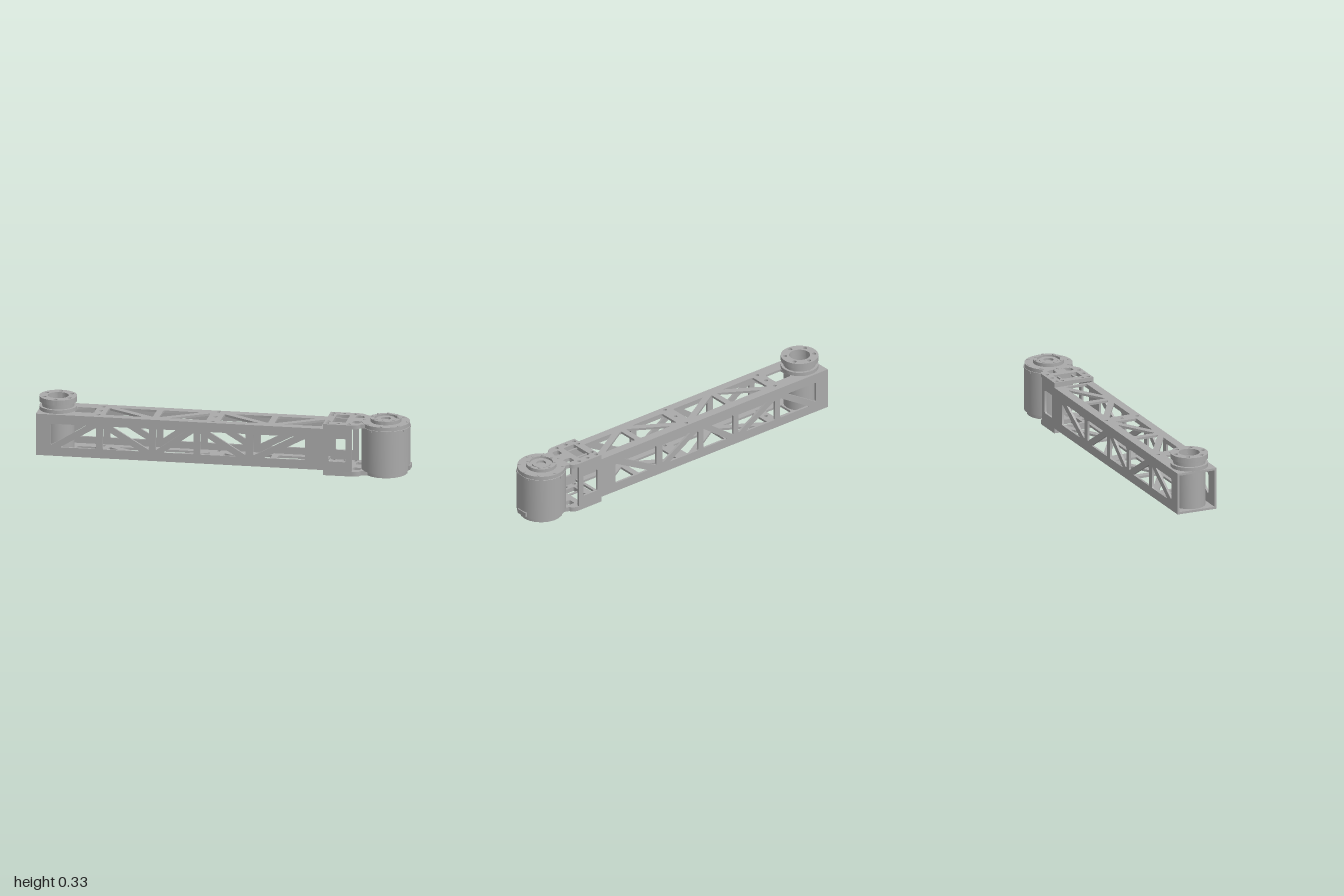
import * as THREE from 'three';
import { toCreasedNormals } from 'three/addons/utils/BufferGeometryUtils.js';

const HALF = 0.114, WALL = 0.012, TUBE_Y0 = 0.028, TUBE_Y1 = 0.256;
const RING_X = -0.9, MOTOR_X = 0.865;

export function createModel() {
  const model = new THREE.Group();
  model.name = 'robotArmLink';
  const metal = new THREE.MeshStandardMaterial({ color: 0xaaaaaa });
  metal.name = 'grey metal';

  function add(name, geometry, x = 0, y = 0, z = 0, parent = model) {
    const mesh = new THREE.Mesh(toCreasedNormals(geometry, 0.6), metal);
    mesh.name = name;
    mesh.position.set(x, y, z);
    parent.add(mesh);
    return mesh;
  }

  // Closed polygon with rounded corners
  function rounded(points, r) {
    const path = new THREE.Path();
    const v = points.map(p => new THREE.Vector2(...p));
    v.forEach((p, i) => {
      const before = v[(i + v.length - 1) % v.length], after = v[(i + 1) % v.length];
      const a = before.clone().sub(p).setLength(r).add(p);
      const b = after.clone().sub(p).setLength(r).add(p);
      if (i === 0) path.moveTo(a.x, a.y); else path.lineTo(a.x, a.y);
      path.quadraticCurveTo(p.x, p.y, b.x, b.y);
    });
    path.closePath();
    return path;
  }
  const rect = (x0, x1, y0, y1, r = 0.008) => rounded([[x0, y0], [x1, y0], [x1, y1], [x0, y1]], r);
  function circle(x, y, r) {
    const path = new THREE.Path();
    path.absarc(x, y, r, 0, Math.PI * 2, false);
    return path;
  }
  function boltCircle(x, r, hole, n, start = 0) {
    return Array.from({ length: n }, (_, i) => {
      const a = start + i * Math.PI * 2 / n;
      return circle(x + r * Math.cos(a), r * Math.sin(a), hole);
    });
  }
  // Two triangular windows either side of a diagonal brace
  function trussCell(x0, x1, y0, y1, rising) {
    const gap = 0.2 * (x1 - x0), dy = 0.01;
    return rising
      ? [rounded([[x0, y0 + dy], [x1 - gap, y1], [x0, y1]], 0.009),
         rounded([[x0 + gap, y0], [x1, y0], [x1, y1 - dy]], 0.009)]
      : [rounded([[x0, y0], [x1 - gap, y0], [x0, y1 - dy]], 0.009),
         rounded([[x0 + gap, y1], [x1, y0 + dy], [x1, y1]], 0.009)];
  }
  function plate(outline, holes, depth, flat = true) {
    const shape = new THREE.Shape(outline.getPoints(8));
    shape.holes = holes;
    const g = new THREE.ExtrudeGeometry(shape, { depth, bevelEnabled: false, curveSegments: 12 });
    return flat ? g.rotateX(-Math.PI / 2) : g;
  }
  const lathe = (points, n = 64) =>
    new THREE.LatheGeometry(points.map(p => new THREE.Vector2(...p)), n);
  const polygon = points => new THREE.Shape(points.map(p => new THREE.Vector2(...p)));

  // Side walls: truss windows, deeper bracket end and a square window
  const sideOutline = polygon([[-1, TUBE_Y0], [0.547, TUBE_Y0], [0.547, 0], [0.7, 0],
    [0.7, 0.283], [0.547, 0.283], [0.547, TUBE_Y1], [-1, TUBE_Y1]]);
  const sideCells = [[-0.92, -0.675], [-0.64, -0.39], [-0.355, -0.15], [-0.115, 0.13], [0.17, 0.45]];
  const sideHoles = sideCells.flatMap(([a, b], i) => trussCell(a, b, 0.077, 0.205, i % 2 === 0));
  sideHoles.push(rect(0.575, 0.668, 0.077, 0.205));
  for (const [name, z] of [['frontWall', HALF - WALL], ['backWall', -HALF]])
    add(name, plate(sideOutline, sideHoles, WALL, false), 0, 0, z);

  // Top and bottom walls
  const cells = [[-0.635, -0.38], [-0.345, -0.09], [-0.015, 0.24], [0.275, 0.53]];
  const inner = HALF - WALL;
  const floorOutline = polygon([[-1, -inner], [0.547, -inner], [0.547, inner], [-1, inner]]);
  const floorHoles = [
    ...cells.flatMap(([a, b], i) => trussCell(a, b, -0.068, 0.065, i % 2 === 1)),
    circle(RING_X, 0, 0.056), rect(-0.805, -0.7, -0.045, 0.045, 0.012),
    ...boltCircle(RING_X, 0.078, 0.009, 6, Math.PI / 6),
    ...[-0.67, -0.053].flatMap(x => [-0.09, 0, 0.09].map(z => circle(x, z * (x < -0.5 ? 0.82 : 1), 0.01))),
  ];
  for (const [name, y] of [['topWall', TUBE_Y1 - WALL], ['bottomWall', TUBE_Y0]])
    add(name, plate(floorOutline, floorHoles, WALL), 0, y);

  // Bracket plates that clamp the motor, ending in a round
  function bracketOutline(r) {
    const s = new THREE.Shape();
    s.moveTo(0.547, -HALF);
    s.lineTo(0.695, -HALF);
    s.quadraticCurveTo(0.735, -HALF, 0.745, -0.088);
    s.lineTo(MOTOR_X - r * 0.75, -r * 0.66);
    s.absarc(MOTOR_X, 0, r, -2.42, 2.42, false);
    s.lineTo(0.745, 0.088);
    s.quadraticCurveTo(0.735, HALF, 0.695, HALF);
    s.lineTo(0.547, HALF);
    s.closePath();
    return s;
  }
  const bracketHoles = [
    rect(0.588, 0.66, -0.068, 0.068),
    rounded([[0.695, 0.03], [0.745, 0.03], [0.735, 0.07], [0.695, 0.07]], 0.01),
    rounded([[0.695, -0.07], [0.735, -0.07], [0.745, -0.03], [0.695, -0.03]], 0.01),
    circle(0.752, 0, 0.008),
    ...[-1, 1].flatMap(s => [[0.566, 0.092], [0.624, 0.092], [0.683, 0.092], [0.566, 0.058]]
      .map(([x, z]) => circle(x, s * z, 0.01))),
  ];
  add('topBracketPlate', plate(bracketOutline(0.127), [...bracketHoles, circle(MOTOR_X, 0, 0.1)], 0.021), 0, 0.262);
  add('bottomBracketPlate', plate(bracketOutline(0.115), [...bracketHoles, circle(MOTOR_X, 0, 0.09)], 0.025));
  // Inner frame of the bracket's large window
  for (const y of [0.27, 0.006])
    for (const z of [-0.04, 0.04])
      add('windowCrossBar', new THREE.BoxGeometry(0.074, 0.008, 0.01), 0.624, y, z);

  // Motor housing with a stepped output hub
  const motor = new THREE.Group();
  motor.name = 'motor';
  motor.position.x = MOTOR_X;
  model.add(motor);
  add('motorHousing', lathe([[0, 0.04], [0.09, 0.04], [0.09, 0.024], [0.13, 0.024], [0.13, 0.262],
    [0.128, 0.263], [0.128, 0.284], [0.082, 0.284], [0.082, 0.303], [0.062, 0.303], [0.062, 0.29],
    [0.05, 0.29], [0.05, 0.298], [0.026, 0.298], [0.026, 0.286], [0, 0.286]]), 0, 0, 0, motor);
  for (let i = 0; i < 8; i++) {
    const a = i * Math.PI / 4;
    add('hubBolt', new THREE.CylinderGeometry(0.007, 0.007, 0.005, 12),
      0.072 * Math.cos(a), 0.304, 0.072 * Math.sin(a), motor);
    add('rimBolt', new THREE.CylinderGeometry(0.008, 0.008, 0.004, 12),
      0.116 * Math.cos(a), 0.285, 0.116 * Math.sin(a), motor);
    // Small clips under the rim
    const clip = add('rimClip', new THREE.BoxGeometry(0.006, 0.013, 0.02),
      0.13 * Math.cos(a + Math.PI / 6), 0.256, 0.13 * Math.sin(a + Math.PI / 6), motor);
    clip.rotation.y = -a - Math.PI / 6;
  }
  // Cable socket on the outer face
  add('socket', new THREE.BoxGeometry(0.014, 0.024, 0.066), 0.128, 0.041, 0, motor);
  for (const z of [-0.019, 0.005])
    add('socketPin', new THREE.CylinderGeometry(0.008, 0.008, 0.006, 16).rotateZ(Math.PI / 2), 0.132, 0.041, z, motor);

  // Joint ring: bolted flanges, neck and sleeve running through the tube
  const ring = new THREE.Group();
  ring.name = 'jointRing';
  ring.position.x = RING_X;
  model.add(ring);
  const flangeHoles = [circle(0, 0, 0.056), ...boltCircle(0, 0.078, 0.011, 6, Math.PI / 6)];
  const disc = new THREE.Shape();
  disc.absarc(0, 0, 0.1, 0, Math.PI * 2, false);
  const flangeOutline = new THREE.Shape(disc.getPoints(64).slice(0, -1));
  const flange = depth => {
    const s = flangeOutline.clone();
    s.holes = flangeHoles;
    return new THREE.ExtrudeGeometry(s, { depth, bevelEnabled: false, curveSegments: 20 }).rotateX(-Math.PI / 2);
  };
  add('upperFlange', flange(0.029), 0, 0.301, 0, ring);
  add('lowerFlange', flange(0.02), 0, 0.256, 0, ring);
  const tube = (r0, r1, y0, y1) => lathe([[r0, y0], [r1, y0], [r1, y1], [r0, y1], [r0, y0]], 48);
  add('neck', tube(0.056, 0.086, 0.275, 0.302), 0, 0, 0, ring);
  add('sleeve', tube(0.056, 0.086, TUBE_Y0 + WALL, TUBE_Y1 - WALL), 0, 0, 0, ring);

  return model;
}
